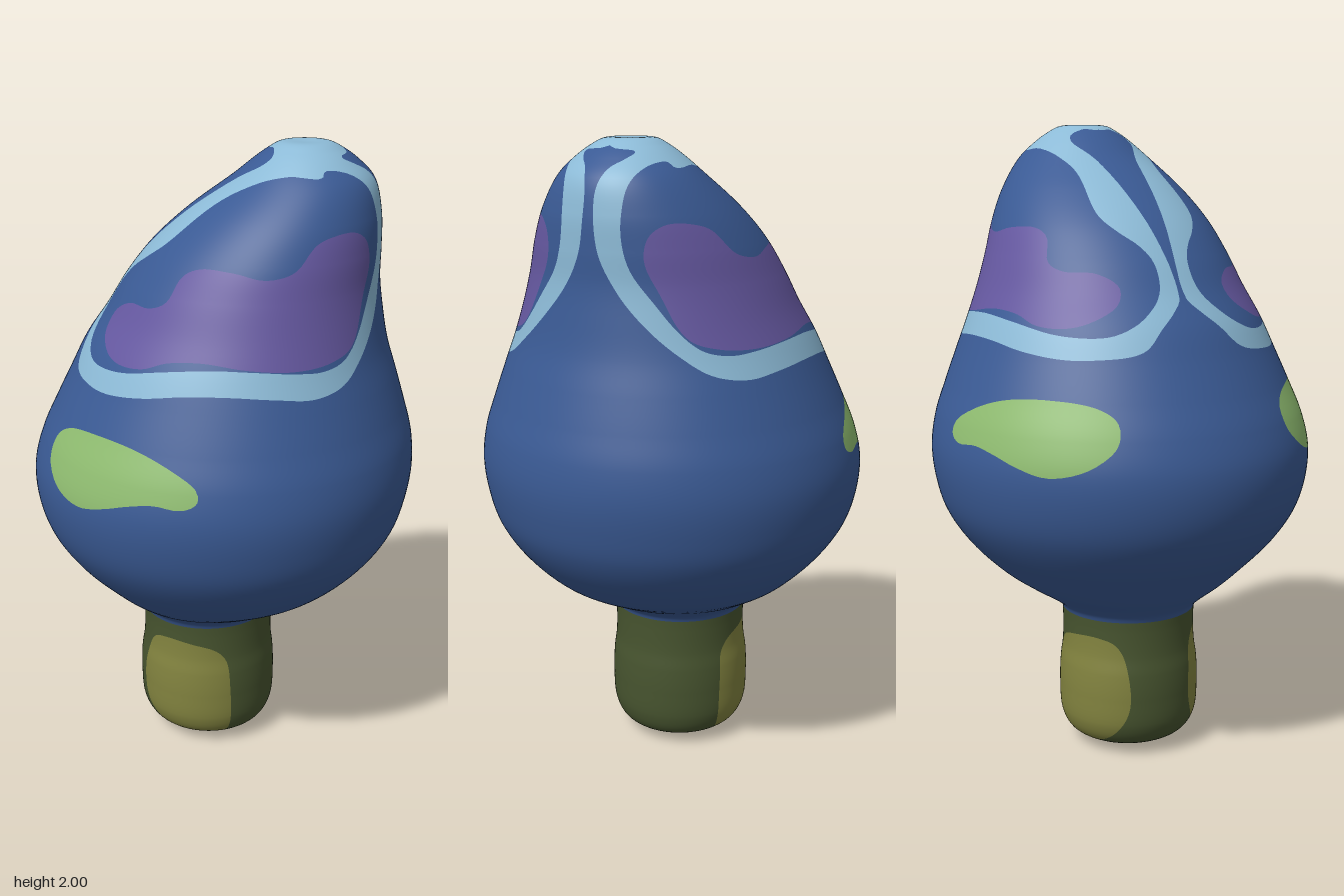
import * as THREE from 'three';

const mat = (name, color) => Object.assign(new THREE.MeshStandardMaterial({ color }), { name });
const BLUE = mat('deep blue', 0x3a5a94);
const SKY = mat('sky blue', 0x8cbad6);
const PURPLE = mat('purple', 0x6558a0);
const GREEN = mat('leaf green', 0x8fbc70);
const STEM = mat('dark olive', 0x47542f);
const OLIVE = mat('light olive', 0x82833f);

const COLUMNS = 80, ANGLE_SCALE = 0.4;

// Leaning stack of circles: profile rows are [y, centre x, radius]
function makeLoft(profile, steps) {
  const curve = new THREE.CatmullRomCurve3(profile.map(([y, c, r]) => new THREE.Vector3(c, y, r)));
  const count = steps * (profile.length - 1);
  const rows = [];
  for (let i = 0; i <= count; i++) {
    rows.push({ p: curve.getPoint(i / count), d: curve.getTangent(i / count) });
  }
  const ring = (y) => {
    let i = rows.findIndex((row) => row.p.y >= y);
    if (i < 0) i = rows.length - 1;
    if (i === 0) return rows[0].p;
    const a = rows[i - 1].p, b = rows[i].p;
    return a.clone().lerp(b, Math.min(1, (y - a.y) / (b.y - a.y || 1)));
  };
  // Convert a point on the surface to [angle, height]
  const front = ([x, y]) => {
    const o = ring(y);
    return [Math.acos(THREE.MathUtils.clamp((x - o.x) / o.z, -1, 1)), y];
  };
  const side = ([z, y]) => [Math.asin(Math.min(1, z / ring(y).z)), y];
  const above = ([x, z]) => {
    let y = 2;
    while (y > 0.5 && Math.hypot(x - ring(y).x, z) > ring(y).z) y -= 0.002;
    return [Math.atan2(z, x - ring(y).x), y];
  };
  return { rows, front, side, above };
}

// Smooth closed outline in the unrolled surface
function outline(points) {
  const pts = points.map(([a, y]) => new THREE.Vector3(a * ANGLE_SCALE, y, 0));
  return new THREE.CatmullRomCurve3(pts, true).getPoints(pts.length * 5);
}

// Signed distance to an outline, positive inside
function inside(poly, angle, y) {
  const x = angle * ANGLE_SCALE;
  let best = Infinity, odd = false;
  for (let i = 0; i < poly.length - 1; i++) {
    const a = poly[i], b = poly[i + 1], dx = b.x - a.x, dy = b.y - a.y;
    const t = THREE.MathUtils.clamp(((x - a.x) * dx + (y - a.y) * dy) / (dx * dx + dy * dy || 1), 0, 1);
    best = Math.min(best, Math.hypot(x - a.x - t * dx, y - a.y - t * dy));
    if ((a.y > y) !== (b.y > y) && x < a.x + (dx * (y - a.y)) / dy) odd = !odd;
  }
  return odd ? best : -best;
}

// Part of a polygon where field k has the given sign
function clip(poly, k, sign) {
  const out = [];
  poly.forEach((a, i) => {
    const b = poly[(i + 1) % poly.length], fa = a[k] * sign, fb = b[k] * sign;
    if (fa >= 0) out.push(a);
    if ((fa >= 0) !== (fb >= 0)) {
      const t = fa / (fa - fb);
      out.push(a.map((v, j) => v + (b[j] - v) * t));
    }
  });
  return out;
}

// Skin the loft, cutting it along the outlines; later regions paint over earlier ones
function buildSkin(group, loft, base, regions) {
  const buckets = new Map();
  const emit = (poly, part) => {
    if (!buckets.has(part)) buckets.set(part, { pos: [], nor: [] });
    const { pos, nor } = buckets.get(part);
    for (let i = 1; i < poly.length - 1; i++) {
      const tri = [poly[0], poly[i], poly[i + 1]];
      for (const s of [1, -1]) {
        for (const v of s > 0 ? tri : [tri[0], tri[2], tri[1]]) {
          pos.push(v[0], v[1], v[2] * s);
          nor.push(v[3], v[4], v[5] * s);
        }
      }
    }
  };
  const paint = (poly, k, part) => {
    if (poly.length < 3) return;
    if (k === regions.length) return emit(poly, part);
    paint(clip(poly, 6 + k, 1), k + 1, regions[k].part);
    paint(clip(poly, 6 + k, -1), k + 1, part);
  };
  const grid = loft.rows.map(({ p, d }) => Array.from({ length: COLUMNS + 1 }, (_, j) => {
    const a = (j / COLUMNS) * Math.PI, c = Math.cos(a), s = Math.sin(a);
    const n = new THREE.Vector3(d.y * c, -(d.z + d.x * c), d.y * s).normalize();
    return [p.x + p.z * c, p.y, p.z * s, n.x, n.y, n.z, ...regions.map((g) => inside(g.poly, a, p.y))];
  }));
  for (let i = 0; i < grid.length - 1; i++) {
    for (let j = 0; j < COLUMNS; j++) {
      const a = grid[i][j], b = grid[i + 1][j], c = grid[i + 1][j + 1], d = grid[i][j + 1];
      paint([a, b, c], 0, base);
      paint([a, c, d], 0, base);
    }
  }
  for (const [part, { pos, nor }] of buckets) {
    const geo = new THREE.BufferGeometry();
    geo.setAttribute('position', new THREE.Float32BufferAttribute(pos, 3));
    geo.setAttribute('normal', new THREE.Float32BufferAttribute(nor, 3));
    const mesh = new THREE.Mesh(geo, part.material);
    mesh.name = part.name;
    group.add(mesh);
  }
}

export function createModel() {
  const model = new THREE.Group();
  model.name = 'leaningBulb';

  // Leaning pear-shaped body
  const body = makeLoft([
    [0.45, -0.055, 0.213], [0.475, -0.055, 0.225], [0.5, -0.05, 0.255], [0.55, -0.03, 0.335],
    [0.6, -0.01, 0.405], [0.7, -0.005, 0.505], [0.8, -0.005, 0.57], [0.9, -0.005, 0.6],
    [1, 0, 0.608], [1.1, 0.01, 0.59], [1.2, 0.02, 0.553], [1.3, 0.03, 0.513], [1.4, 0.04, 0.472],
    [1.5, 0.065, 0.428], [1.6, 0.09, 0.39], [1.7, 0.13, 0.35], [1.8, 0.183, 0.293],
    [1.9, 0.238, 0.212], [1.95, 0.245, 0.157], [1.98, 0.245, 0.115], [2, 0.243, 0.075], [2, 0.243, 0.0005],
  ], 6);
  const { front, side, above } = body;

  // Outer edge of the pale band, with the pale cap at the tip
  const bandOuter = outline([
    ...[[-0.37, 1.32], [-0.31, 1.32], [-0.2, 1.335], [-0.07, 1.357], [0.06, 1.362], [0.19, 1.352],
      [0.3, 1.34], [0.38, 1.36]].map(front),
    ...[[0.265, 1.415], [0.167, 1.5], [0.087, 1.59], [0.035, 1.685], [0.02, 1.765], [0.018, 1.87],
      [0.035, 1.92], [0.07, 1.95], [0.082, 1.968]].map(side),
    [-0.1, 1.997], [-0.1, 2.05], [Math.PI + 0.1, 2.05], [Math.PI + 0.1, 1.997],
    ...[[0.155, 0.05], [0.15, 0.095], [0.13, 0.105], [0.02, 0.07], [-0.16, 0.04], [-0.37, 0.01],
      [-0.395, 0.04], [-0.42, 0.1], [-0.433, 0.17]].map(above),
  ]);
  const bandInner = outline([
    ...[[-0.373, 1.384], [-0.283, 1.384], [-0.125, 1.415], [0.008, 1.43], [0.14, 1.426], [0.246, 1.415],
      [0.325, 1.41], [0.385, 1.432]].map(front),
    ...[[0.19, 1.56], [0.12, 1.659], [0.098, 1.765], [0.103, 1.87], [0.124, 1.923], [0.163, 1.937]].map(side),
    ...[[0.3, 0.175], [0.2, 0.18], [0.1, 0.163], [0, 0.15], [-0.15, 0.165], [-0.21, 0.135], [-0.265, 0.085],
      [-0.3, 0.06], [-0.34, 0.06], [-0.365, 0.08], [-0.385, 0.13], [-0.39, 0.17]].map(above),
  ]);
  const purple = outline([
    ...[[-0.335, 1.474], [-0.31, 1.52], [-0.257, 1.558], [-0.188, 1.563], [-0.135, 1.59], [-0.093, 1.659],
      [-0.045, 1.685], [0.06, 1.685], [0.156, 1.669], [0.235, 1.69], [0.288, 1.754], [0.34, 1.775]].map(front),
    ...[[0.204, 1.775], [0.167, 1.738], [0.161, 1.675], [0.205, 1.58]].map(side),
    ...[[0.4, 1.46], [0.345, 1.43], [0.246, 1.421], [0.11, 1.432], [-0.02, 1.447], [-0.125, 1.437],
      [-0.2, 1.41], [-0.283, 1.405], [-0.325, 1.426]].map(front),
  ]);
  const green = outline([
    [-0.505, 1.093], [-0.48, 1.156], [-0.43, 1.193], [-0.32, 1.209], [-0.204, 1.198], [-0.098, 1.161],
    [-0.024, 1.114], [-0.024, 1.077], [-0.07, 1.056], [-0.15, 1.061], [-0.23, 1.045], [-0.31, 1.018],
    [-0.39, 0.997], [-0.458, 1.013], [-0.495, 1.05],
  ].map(front));
  const skin = { name: 'body', material: BLUE };
  buildSkin(model, body, skin, [
    { part: { name: 'paleBand', material: SKY }, poly: bandOuter },
    { part: skin, poly: bandInner },
    { part: { name: 'purplePatch', material: PURPLE }, poly: purple },
    { part: { name: 'greenPatch', material: GREEN }, poly: green },
  ]);

  // Stem with a patch on front and back
  const stem = makeLoft([
    [0, -0.05, 0.095], [0.02, -0.05, 0.145], [0.05, -0.053, 0.195], [0.1, -0.056, 0.221],
    [0.2, -0.057, 0.228], [0.28, -0.057, 0.225], [0.34, -0.056, 0.217], [0.42, -0.055, 0.215], [0.47, -0.055, 0.217],
  ], 5);
  const stemPatch = outline([
    [-0.257, 0.177], [-0.241, 0.325], [-0.22, 0.378], [-0.177, 0.399], [-0.087, 0.394], [-0.003, 0.368],
    [0.029, 0.325], [0.04, 0.24], [0.034, 0.071], [0.008, 0.036], [-0.12, 0.034], [-0.22, 0.087],
  ].map(stem.front));
  buildSkin(model, stem, { name: 'stem', material: STEM },
    [{ part: { name: 'stemPatch', material: OLIVE }, poly: stemPatch }]);

  // Flat cut end under the stem
  const cut = new THREE.Mesh(new THREE.CircleGeometry(0.095, 40).rotateX(Math.PI / 2), OLIVE);
  cut.position.x = -0.05;
  cut.name = 'stemCutEnd';
  model.add(cut);
  return model;
}
